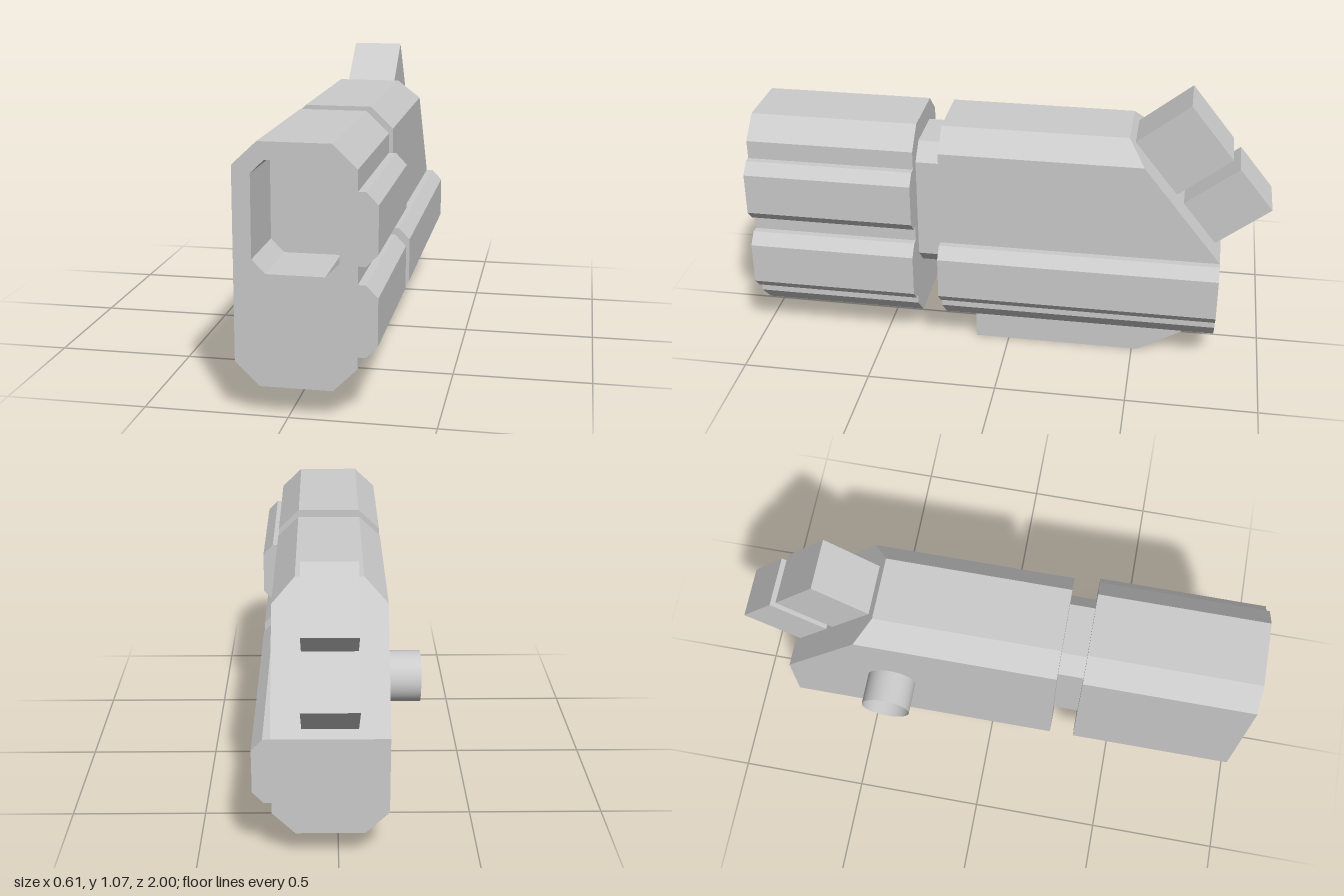
import * as THREE from 'three';

const material = new THREE.MeshStandardMaterial({ color: 0xcccccc, flatShading: true });
const tubeMaterial = new THREE.MeshStandardMaterial({ color: 0xcccccc, side: THREE.DoubleSide });

const shapeOf = (pts) => new THREE.Shape(pts.map(([x, y]) => new THREE.Vector2(x, y)));

// Rectangle with four cut corners, anticlockwise
function chamferedRect(x0, x1, y0, y1, c) {
  return [[x0 + c, y0], [x1 - c, y0], [x1, y0 + c], [x1, y1 - c],
    [x1 - c, y1], [x0 + c, y1], [x0, y1 - c], [x0, y0 + c]];
}

// Side rail outline attached to the +x wall, from its lower to its upper edge
function rail(y0, y1) {
  return [[0.235, y0], [0.262, y0], [0.302, y0 + 0.042], [0.302, y1 - 0.042], [0.262, y1], [0.235, y1]];
}

// Extrude an (x, y) outline along z
function alongZ(pts, z0, z1, hole) {
  const shape = shapeOf(pts);
  if (hole) shape.holes.push(new THREE.Path(hole.map(([x, y]) => new THREE.Vector2(x, y))));
  return new THREE.ExtrudeGeometry(shape, { depth: z1 - z0, bevelEnabled: false }).translate(0, 0, z0);
}

// Extrude a (z, y) outline along x
function alongX(pts, x0, x1) {
  return new THREE.ExtrudeGeometry(shapeOf(pts), { depth: x1 - x0, bevelEnabled: false })
    .rotateY(-Math.PI / 2).translate(x1, 0, 0);
}

export function createModel() {
  const group = new THREE.Group();
  const add = (name, geometry, mat = material) => {
    const mesh = new THREE.Mesh(geometry, mat);
    mesh.name = name;
    group.add(mesh);
  };

  const bottom = [[-0.18, 0.187], [-0.095, 0.105], [0.152, 0.105], [0.235, 0.187]];
  const top = [[0.235, 0.855], [0.152, 0.935], [-0.095, 0.935], [-0.18, 0.855]];
  const lowerRail = rail(0.228, 0.475);

  // Front housing with two rails and a recessed opening
  const frontOutline = [...bottom, ...lowerRail, ...rail(0.537, 0.783), ...top];
  const opening = chamferedRect(-0.118, 0.175, 0.495, 0.875, 0.047);
  add('frontHousing', alongZ(frontOutline, 0.73, 1, opening));
  add('frontHousingCore', alongZ(frontOutline, 0.352, 0.73));

  // Neck joining the two housings
  add('neck', alongZ(chamferedRect(-0.135, 0.19, 0.33, 0.855, 0.063), 0.255, 0.352));

  // Rear housing: straight lower part with one rail
  add('rearHousingLower', alongZ([...bottom, ...lowerRail, [-0.18, 0.475]], -0.82, 0.255));

  // Rear housing: upper part with its back end sheared to a slope
  const upper = alongZ([[-0.18, 0.475], [0.235, 0.475], ...top], -0.82, 0.255);
  const pos = upper.attributes.position;
  for (let i = 0; i < pos.count; i++) {
    if (pos.getZ(i) < 0) pos.setZ(i, -0.82 + (pos.getY(i) - 0.475) * 0.793);
  }
  upper.computeVertexNormals();
  add('rearHousingUpper', upper);

  // Twin blocks standing on the slope
  add('upperRearBlock', alongX([[-0.473, 0.906], [-0.638, 0.698], [-0.841, 0.859], [-0.675, 1.067]], -0.07, 0.128));
  add('lowerRearBlock', alongX([[-0.668, 0.665], [-0.797, 0.503], [-1, 0.662], [-0.87, 0.824]], -0.07, 0.128));

  // Tapered foot under the rear housing
  add('foot', alongX([[0.133, 0.105], [-0.70, 0.105], [-0.523, 0], [0.133, 0]], -0.095, 0.152));

  // Open tube on the -x wall
  const tube = new THREE.CylinderGeometry(0.0945, 0.0945, 0.125, 48, 1, true);
  add('sideTube', tube.rotateZ(Math.PI / 2).translate(-0.2425, 0.521, -0.395), tubeMaterial);

  return group;
}
